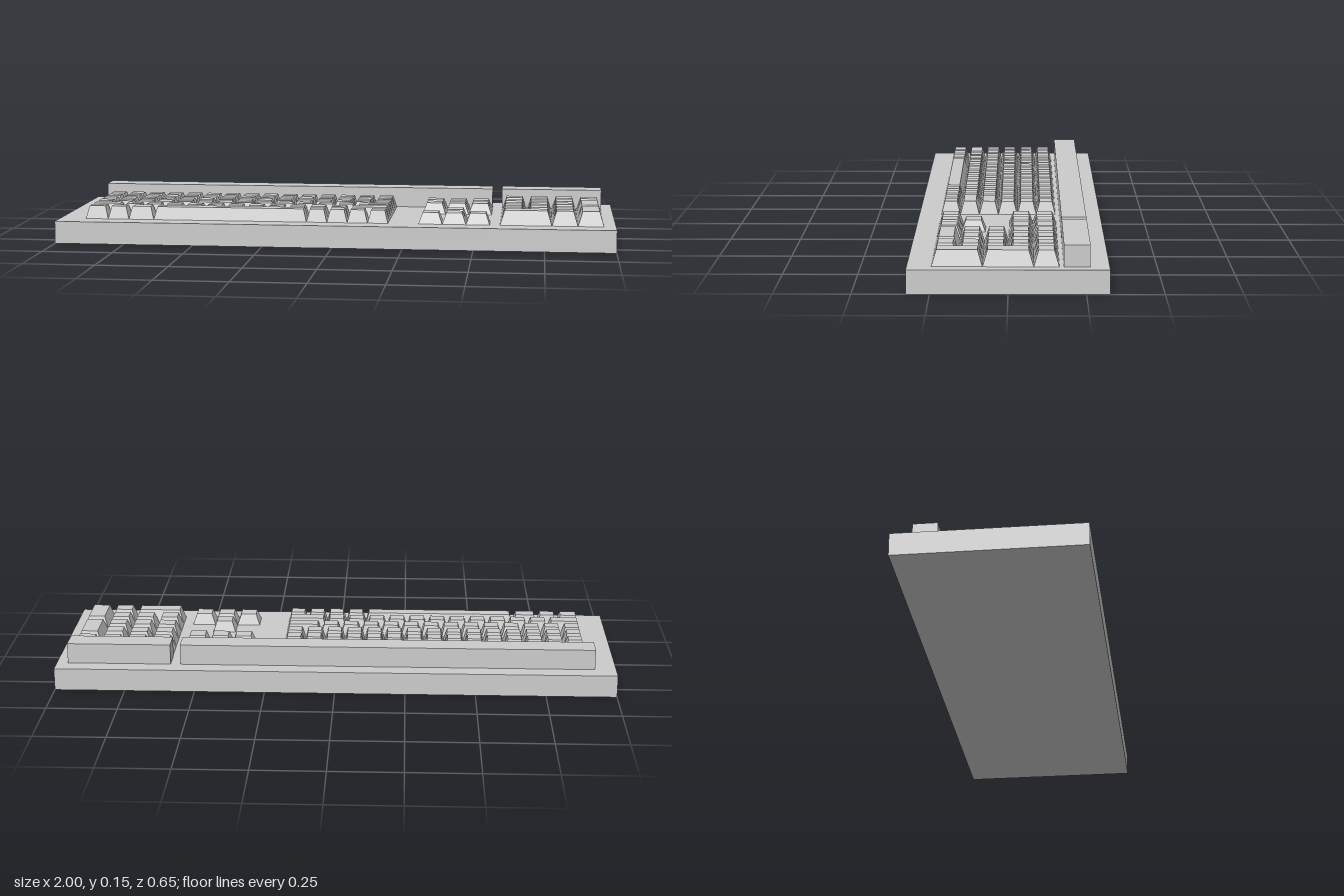
import * as THREE from 'three';

const BASE_TOP = 0.08;

export function createModel() {
  const model = new THREE.Group();
  const grey = new THREE.MeshStandardMaterial({ color: 0xcccccc, flatShading: true });

  // Box given by its extents
  function block(parent, name, x0, x1, y0, y1, z0, z1) {
    const mesh = new THREE.Mesh(new THREE.BoxGeometry(x1 - x0, y1 - y0, z1 - z0), grey);
    mesh.position.set((x0 + x1) / 2, (y0 + y1) / 2, (z0 + z1) / 2);
    mesh.name = name;
    parent.add(mesh);
    return mesh;
  }

  // Keycap: a box whose top corners are drawn inwards
  function key(parent, name, x0, x1, z0, z1, top, inset) {
    const mesh = block(parent, name, x0, x1, BASE_TOP, top, z0, z1);
    const p = mesh.geometry.attributes.position;
    for (let i = 0; i < p.count; i++) {
      if (p.getY(i) < 0) continue;
      p.setX(i, p.getX(i) - Math.sign(p.getX(i)) * inset);
      p.setZ(i, p.getZ(i) - Math.sign(p.getZ(i)) * inset);
    }
    mesh.geometry.computeVertexNormals();
  }

  function section(name) {
    const group = new THREE.Group();
    group.name = name;
    model.add(group);
    return group;
  }

  // Case and the two raised bars along the back
  block(model, 'case', -1, 1, 0, BASE_TOP, -0.325, 0.325);
  block(model, 'mainBackBar', -0.925, 0.555, BASE_TOP, 0.153, -0.263, -0.178);
  block(model, 'numpadBackBar', 0.59, 0.96, BASE_TOP, 0.153, -0.263, -0.178);

  // Main keys: relative widths per row, stretched to the full row length
  const main = section('mainKeys');
  const unit = (n) => Array(n).fill(1);
  const rows = [
    unit(15),
    unit(15),
    unit(15),
    [...unit(13), 1.73],
    [1.6, ...unit(11), 1.95],
    [1.12, 1.04, 1.25, 7.6, ...unit(4)],
  ];
  const left = -0.905, right = 0.194, back = -0.164, front = 0.246;
  const rowDepth = (front - back) / rows.length;
  rows.forEach((widths, r) => {
    const scale = (right - left) / widths.reduce((a, b) => a + b, 0);
    const z = back + r * rowDepth;
    let x = left;
    for (const w of widths) {
      key(main, 'mainKey', x, x + w * scale, z, z + rowDepth, 0.126, 0.012);
      x += w * scale;
    }
  });

  // Keys on a coarser grid: [column, row, columns wide, rows deep]
  const depth = (front - back) / 5;
  function gridKeys(group, name, x0, pitch, top, inset, cells) {
    for (const [c, r, w = 1, d = 1] of cells) {
      key(group, name, x0 + c * pitch, x0 + (c + w) * pitch,
        back + r * depth, back + (r + d) * depth, top, inset);
    }
  }

  // Navigation block and arrow keys
  gridKeys(section('navigationKeys'), 'navigationKey', 0.303, 0.0843, 0.12, 0.014,
    [[0, 0], [1, 0], [2, 0], [0, 1], [1, 1], [2, 1]]);
  gridKeys(section('arrowKeys'), 'arrowKey', 0.303, 0.0843, 0.12, 0.014,
    [[1, 3], [0, 4], [1, 4], [2, 4]]);

  // Number pad, with a wide key in front and two deep keys at the side
  const pad = [[3, 0], [3, 1, 1, 2], [3, 3, 1, 2], [0, 4, 2, 1], [2, 4]];
  for (let r = 0; r < 4; r++) for (let c = 0; c < 3; c++) pad.push([c, r]);
  gridKeys(section('numpadKeys'), 'numpadKey', 0.592, 0.0915, 0.132, 0.016, pad);

  return model;
}
